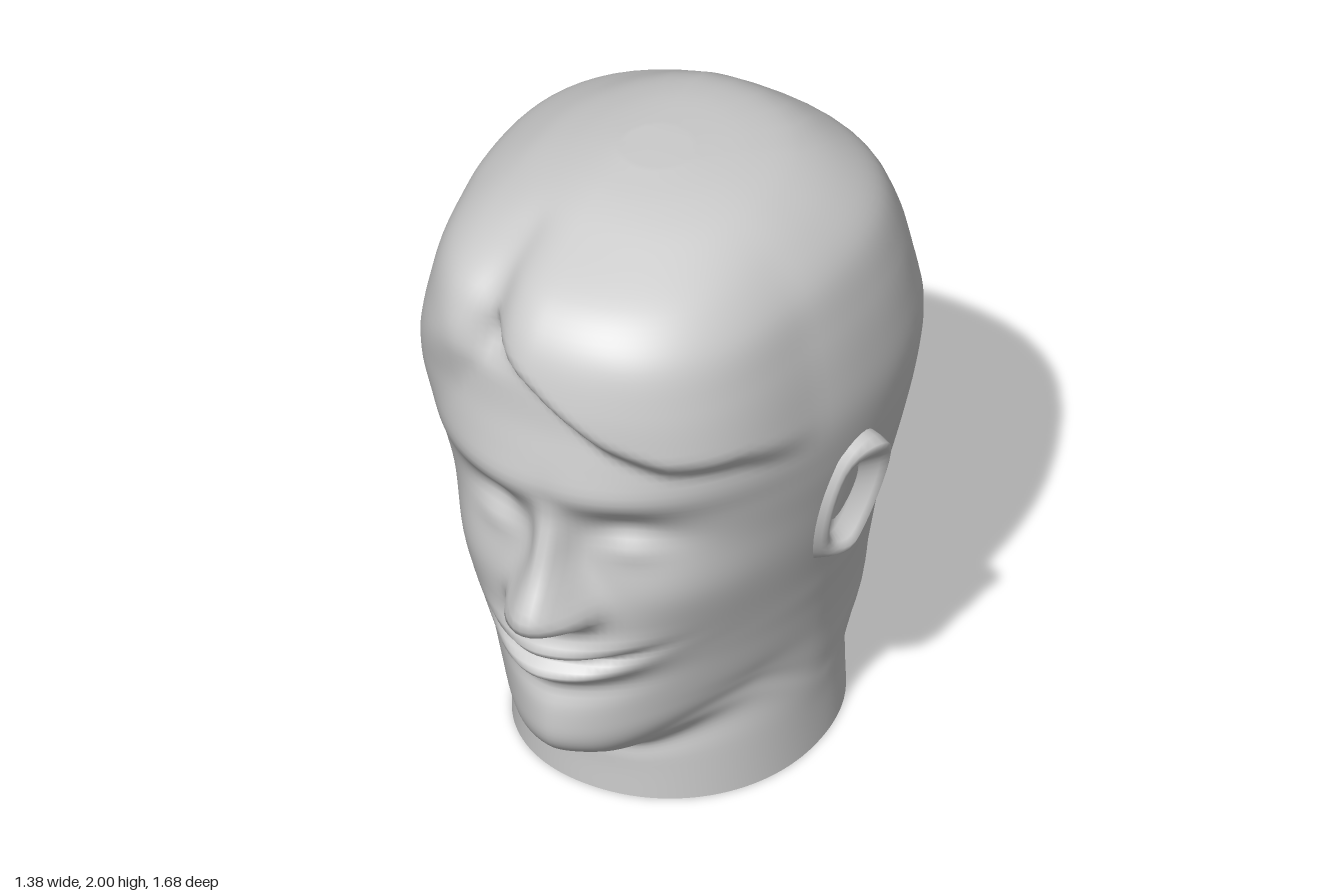
import * as THREE from 'three';

const ZC = -0.12;                       // axis of the cross-sections
const CUT_L = 0.28, CUT_R = -0.31, CUT_Z = 0.22; // box-shaped recess in the back
const SUB = 6, COLS = 96, BACK = 8, CUT_KEY = 12;

// Cross-sections: height, front z, back z, half width, front and back roundness power
const KEYS = [
  [0, .37, -.63, .45, 2.1, 2.1], [.12, .37, -.63, .445, 2.1, 2.1], [.19, .385, -.65, .445, 1.95, 2.05],
  [.24, .53, -.78, .445, 1.65, 1.9], [.3, .60, -.86, .45, 1.62, 1.9], [.4, .62, -.88, .46, 1.65, 1.9],
  [.52, .63, -.875, .48, 1.7, 1.95], [.61, .65, -.865, .50, 1.72, 1.97], [.7, .67, -.86, .52, 1.75, 2],
  [.85, .66, -.857, .56, 1.82, 2.1], [1.0, .645, -.873, .595, 1.9, 2.15], [1.15, .665, -.878, .625, 2, 2.2],
  [1.3, .695, -.85, .64, 2.1, 2.3], [1.45, .67, -.80, .63, 2.15, 2.3], [1.6, .65, -.75, .607, 2.15, 2.3],
  [1.75, .60, -.67, .565, 2.2, 2.3], [1.86, .5, -.555, .48, 2.2, 2.3], [1.94, .37, -.44, .37, 2.2, 2.2],
  [1.98, .25, -.3, .25, 2, 2], [2.0, .1, -.1, .1, 2, 2],
];
const HAIRLINE = [[-.65, 1.22], [-.45, 1.34], [-.3, 1.5], [-.18, 1.67], [0, 1.57], [.2, 1.43], [.35, 1.36], [.5, 1.34], [.65, 1.25]];
const NOSE = [[.76, 0], [.79, .07], [.82, .155], [.86, .18], [.92, .155], [1.06, .08], [1.15, .03], [1.22, 0]];
// Ear rings from the outer edge to the hollow: size, height, forward shift
const EAR = [[1.12, -.5, 0], [1.03, .45, 0], [.95, .95, 0], [.85, 1, 0], [.74, .75, .005], [.6, .1, .015], [.3, -.15, .02], [0, -.15, .02]];

const ss = (a, b, v) => { const t = Math.min(1, Math.max(0, (v - a) / (b - a))); return t * t * (3 - 2 * t); };
const bell = (v, c, s) => Math.exp(-(((v - c) / s) ** 2));

function lookup(table, v) {
  if (v <= table[0][0]) return table[0][1];
  for (let i = 1; i < table.length; i++) {
    const [a, p] = table[i - 1], [b, q] = table[i];
    if (v <= b) return p + (q - p) * (v - a) / (b - a);
  }
  return table[table.length - 1][1];
}

// Smooth interpolation between the key cross-sections
function section(row) {
  const k = Math.min(KEYS.length - 2, Math.floor(row / SUB)), t = row / SUB - k;
  const at = (i) => KEYS[Math.min(KEYS.length - 1, Math.max(0, i))];
  return KEYS[0].map((_, c) => {
    const a = at(k - 1)[c], b = at(k)[c], d = at(k + 1)[c], e = at(k + 2)[c];
    const m = (d - a) / 2, n = (e - b) / 2;
    return b + m * t + (3 * (d - b) - 2 * m - n) * t * t + (2 * (b - d) + m + n) * t * t * t;
  });
}

// Outward relief of the face and the swept hair
function relief(x, y, z) {
  if (z < 0) return 0;
  const ax = Math.abs(x - .03);
  let face = 0;
  // nose with nostril wings
  const width = .05 + .05 * (1 - ss(.82, 1.05, y));
  face += lookup(NOSE, y) * Math.exp(-((ax / width) ** 2.4));
  face += .025 * bell(ax, .09, .035) * bell(y, .83, .045);
  // brow, eye sockets and lids
  face += .02 * bell(y, 1.24, .06) * bell(ax, .15, .25);
  face -= .05 * bell(ax, .2, .12) * bell(y, 1.1, .075);
  face += .025 * bell(ax, .21, .075) * bell(y, 1.05, .045);
  // cheeks
  face += .03 * bell(ax, .3, .13) * bell(y, .88, .16);
  // lips with raised corners, chin
  const lip = Math.exp(-((ax / .2) ** 3)), ym = y - .5 * ax * ax;
  face += lip * (.03 * bell(ym, .675, .03) - .035 * bell(ym, .635, .018) + .042 * bell(ym, .59, .034) - .02 * bell(ym, .51, .04));
  face += .015 * bell(y, .35, .08) * bell(ax, 0, .18);
  // fringe: big lobe on one side of the parting, small soft lobe on the other
  const line = lookup(HAIRLINE, x), soft = 1 - ss(-.35, -.15, x);
  const amount = .065 + .04 * ss(-.2, 0, x);
  let hair = amount * ss(line - .03 - .06 * soft, line + .09 + .1 * soft, y) * (1 - ss(1.84, 2, y));
  hair -= .06 * bell(x, -.2, .08) * ss(1.55, 1.7, y) * (1 - ss(1.9, 2, y)) * ss(.1, .4, z);
  return face * ss(0, .35, z) + hair * ss(.12, .58, z);
}

function headRow(row) {
  const [y, zf, zb, w, pf, pb] = section(row);
  const cutAngle = (cut) => {
    const x = Math.sign(cut) * Math.min(Math.abs(cut), .75 * w);
    const depth = (ZC - zb) * (1 - (Math.abs(x) / w) ** pb) ** (1 / pb);
    return Math.atan2(x, -depth);
  };
  // the top rows shrink towards z = 0, so their axis follows
  const axis = ZC * (1 - ss(1.75, 2, y));
  const aL = cutAngle(CUT_L), aR = cutAngle(CUT_R), points = [];
  for (let j = 0; j < COLS + BACK; j++) {
    let a;
    if (j <= COLS) {
      const u = 2 * j / COLS - 1, s = Math.abs(u);
      a = (u < 0 ? aR : aL) * (.47 * s + .53 * s ** 3);
    } else a = aL + (aR + 2 * Math.PI - aL) * (j - COLS) / BACK;
    const s = Math.sin(a), c = Math.cos(a);
    const d = c > 0 ? zf - axis : axis - zb, p = c > 0 ? pf : pb;
    let r = ((Math.abs(c) / d) ** p + (Math.abs(s) / w) ** p) ** (-1 / p);
    r += relief(r * s, y, axis + r * c);
    const x = r * s, z = axis + r * c;
    // lower crown on one side, jaw line rising from the chin to the ears
    const sink = .03 * ss(-.05, -.35, x) * ss(1.75, 1.93, y);
    const jaw = .1 * ss(.1, .4, Math.abs(x)) * bell(y, .25, .14) * ss(0, .1, y) * ss(-.2, .15, z);
    points.push(new THREE.Vector3(x, y - sink + jaw, z));
  }
  return points;
}

function surface(points, index) {
  const g = new THREE.BufferGeometry().setFromPoints(points);
  g.setIndex(index);
  g.computeVertexNormals();
  return g;
}

// Ruled strip between two point lists
function strip(a, b) {
  const index = [], n = a.length;
  for (let i = 0; i < n - 1; i++) index.push(i, i + 1, n + i, i + 1, n + i + 1, n + i);
  return surface([...a, ...b], index);
}

// Egg-shaped ear, standing out most at the back
function earGeometry(side) {
  const points = [], index = [], n = 32;
  EAR.forEach(([size, height, shift], i) => {
    for (let j = 0; j < n; j++) {
      const t = side * j / n * Math.PI * 2, c = Math.cos(t), s = Math.sin(t);
      const y = .975 + .2 * size * s;
      const z = -.03 + shift + size * c * (.115 + .025 * s) - .02 * s * size;
      const lift = .02 + .05 * ss(.8, -.5, c);
      points.push(new THREE.Vector3(side * (.545 + .22 * (y - .8) + height * lift), y, z));
      if (i === 0) continue;
      const a = (i - 1) * n + j, b = (i - 1) * n + (j + 1) % n;
      index.push(a, a + n, b, b, a + n, b + n);
    }
  });
  return surface(points, index);
}

export function createModel() {
  const group = new THREE.Group();
  const smooth = new THREE.MeshStandardMaterial({ color: 0xcccccc, side: THREE.DoubleSide });
  const add = (name, geometry, parent = group) => {
    const m = new THREE.Mesh(geometry, smooth);
    m.name = name;
    parent.add(m);
  };

  // Head, hair and neck as one skin, open at the recess
  const rows = [], last = (KEYS.length - 1) * SUB, ring = COLS + BACK, cutRow = CUT_KEY * SUB;
  for (let i = 0; i <= last; i++) rows.push(headRow(i));
  const index = [];
  for (let i = 0; i < last; i++) for (let j = 0; j < ring; j++) {
    if (i < cutRow && j >= COLS) continue;
    const a = i * ring + j, b = i * ring + (j + 1) % ring;
    index.push(a, b, a + ring, b, b + ring, a + ring);
  }
  const points = rows.flat();
  for (let j = 0; j < ring; j++) index.push(last * ring + j, last * ring + (j + 1) % ring, points.length);
  points.push(new THREE.Vector3(0, 2, 0));
  add('head', surface(points, index));

  // Recess walls
  const recess = new THREE.Group();
  recess.name = 'backRecess';
  group.add(recess);
  const inner = (v) => new THREE.Vector3(v.x, v.y, CUT_Z);
  const edgeL = rows.slice(0, cutRow + 1).map((r) => r[COLS]);
  const edgeR = rows.slice(0, cutRow + 1).map((r) => r[0]);
  add('recessLeftWall', strip(edgeL.map(inner), edgeL), recess);
  add('recessRightWall', strip(edgeR, edgeR.map(inner)), recess);
  add('recessFrontWall', strip(edgeR.map(inner), edgeL.map(inner)), recess);
  const lip = [...rows[cutRow].slice(COLS), rows[cutRow][0]];
  add('recessCeiling', strip(lip, lip.map(inner)), recess);

  // Ears
  add('leftEar', earGeometry(1));
  add('rightEar', earGeometry(-1));
  return group;
}
